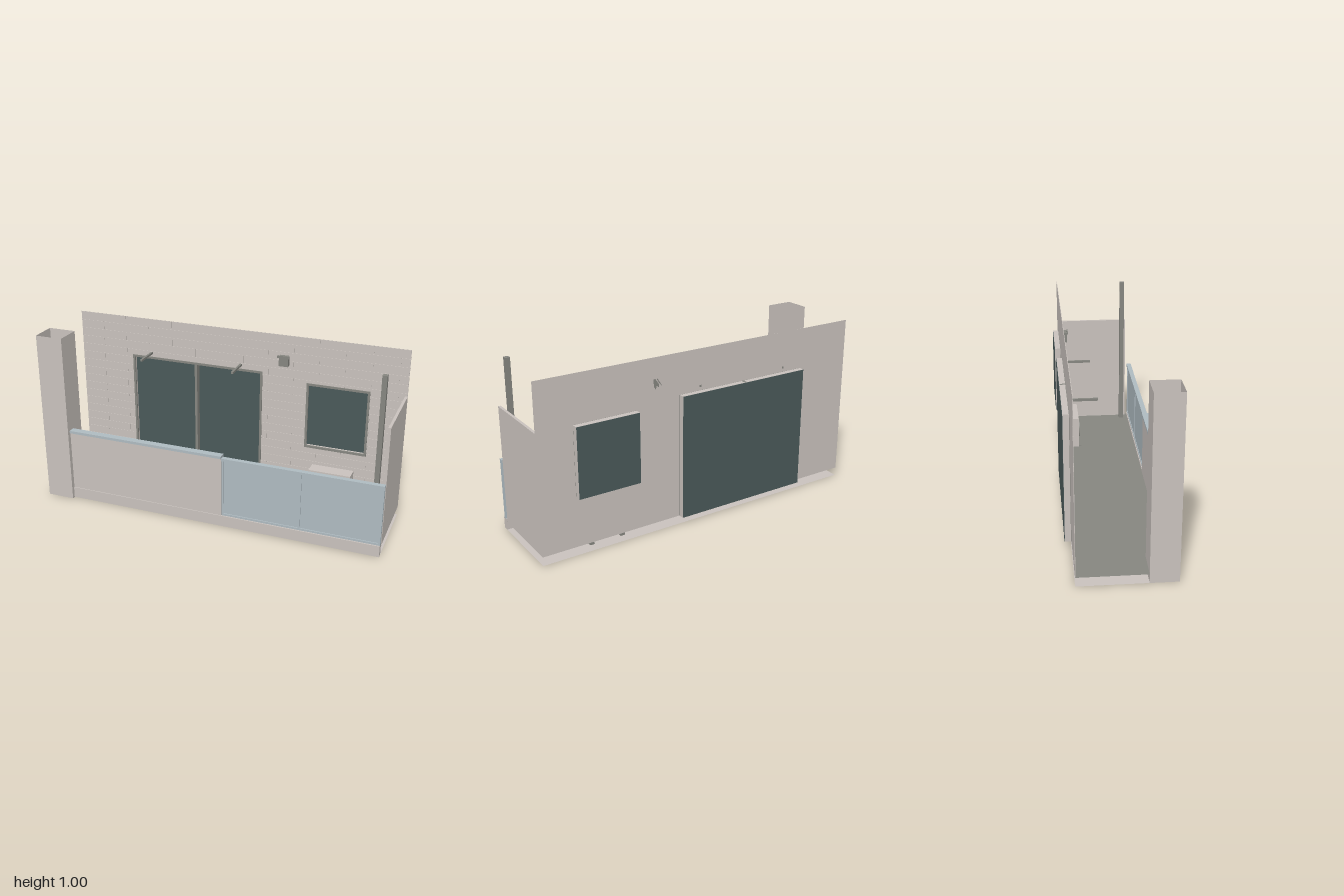
import * as THREE from 'three';

export function createModel() {
  const model = new THREE.Group();
  const mat = (name, color, side = THREE.FrontSide) => {
    const m = new THREE.MeshStandardMaterial({ color, side });
    m.name = name;
    return m;
  };
  const plaster = mat('plaster', 0xc9c2bd, THREE.DoubleSide);
  const metal = mat('dark grey metal', 0x868680, THREE.DoubleSide);
  const pane = mat('dark window glass', 0x4a5959, THREE.DoubleSide);
  const blue = mat('blue grey glass', 0xafbbc1, THREE.DoubleSide);

  const add = (name, geo, material, parent = model) => {
    const mesh = new THREE.Mesh(geo, material);
    mesh.name = name;
    parent.add(mesh);
    return mesh;
  };
  // box given by its limits on each axis
  const box = (name, material, x0, x1, y0, y1, z0, z1, parent) => {
    const g = new THREE.BoxGeometry(x1 - x0, y1 - y0, z1 - z0);
    g.translate((x0 + x1) / 2, (y0 + y1) / 2, (z0 + z1) / 2);
    return add(name, g, material, parent);
  };
  // horizontal sheet
  const sheet = (name, material, x0, x1, y, z0, z1) => {
    const g = new THREE.PlaneGeometry(x1 - x0, z1 - z0).rotateX(-Math.PI / 2);
    g.translate((x0 + x1) / 2, y, (z0 + z1) / 2);
    return add(name, g, material);
  };
  const group = (name) => {
    const g = new THREE.Group();
    g.name = name;
    model.add(g);
    return g;
  };

  // floor: base sheet, raised deck and front curb
  sheet('base', plaster, -1, 1, 0, -0.24, 0.25);
  sheet('deck', metal, -1, 1, 0.05, -0.24, 0.222);
  box('curb', plaster, -0.84, 1, 0.001, 0.066, 0.222, 0.255);

  // hollow pillar, open at the top
  const ring = new THREE.CylinderGeometry(Math.SQRT1_2, Math.SQRT1_2, 1, 4, 1, true)
    .rotateY(Math.PI / 4).toNonIndexed();
  ring.scale(0.16, 1, 0.15);
  ring.translate(-0.92, 0.5, 0.2);
  ring.computeVertexNormals();
  add('pillar', ring, plaster);

  // back wall with two openings: [x0, x1, y0, y1]
  const openings = [[-0.66, 0.165, 0.05, 0.766], [0.43, 0.795, 0.335, 0.733]];
  const rectPath = (p, [x0, x1, y0, y1]) => {
    p.moveTo(x0, y0); p.lineTo(x1, y0); p.lineTo(x1, y1); p.lineTo(x0, y1); p.closePath();
    return p;
  };
  const wall = new THREE.Shape([[-1, 0.05], [-0.66, 0.05], [-0.66, 0.766], [0.165, 0.766], [0.165, 0.05],
    [1, 0.05], [1, 1], [-1, 1]].map(([x, y]) => new THREE.Vector2(x, y)));
  wall.holes.push(rectPath(new THREE.Path(), openings[1]));
  add('backWall', new THREE.ShapeGeometry(wall).translate(0, 0, -0.24), plaster);

  // brick facing in running bond, cut around the openings
  const cut = (r, o) => {
    const [a, b, c, d] = r, [e, f, g, h] = o;
    if (a >= f || b <= e || c >= h || d <= g) return [r];
    const lo = Math.max(c, g), hi = Math.min(d, h);
    return [[a, b, c, g], [a, b, h, d], [a, e, lo, hi], [f, b, lo, hi]]
      .filter(([p, q, s, t]) => q - p > 0.001 && t - s > 0.001);
  };
  const bricks = group('bricks');
  const gap = 0.001;
  for (let row = 0; row < 19; row++) {
    const y = 0.05 + row * 0.05;
    for (let x = -1 - (row % 2) * 0.15; x < 0.99; x += 0.3) {
      let parts = [[Math.max(x, -1) + gap, Math.min(x + 0.3, 1) - gap, y + gap, y + 0.05 - gap]];
      for (const o of openings) parts = parts.flatMap((r) => cut(r, o));
      for (const [a, b, c, d] of parts) box('brick', plaster, a, b, c, d, -0.24, -0.237, bricks);
    }
  }

  // door and window: reveal, frame and glass set back behind the wall
  openings.forEach((o, i) => {
    const [x0, x1, y0, y1] = o;
    const g = group(i ? 'window' : 'slidingDoor');
    const hollow = (name, material, t, z0, z1) => {
      const s = rectPath(new THREE.Shape(), o);
      s.holes.push(rectPath(new THREE.Path(), [x0 + t, x1 - t, y0 + t, y1 - t]));
      const geo = new THREE.ExtrudeGeometry(s, { depth: z1 - z0, bevelEnabled: false });
      add(name, geo.translate(0, 0, z0), material, g);
    };
    hollow('reveal', plaster, 0.004, -0.274, -0.242);
    hollow('frame', metal, 0.013, -0.242, -0.233);
    box('glass', pane, x0 + 0.001, x1 - 0.001, y0 + 0.001, y1 - 0.001, -0.276, -0.272, g);
    if (!i) box('mullion', metal, -0.258, -0.243, y0, y1, -0.271, -0.236, g);
  });

  // side wall and slim post beside it
  box('sideWall', plaster, 0.985, 1, 0.05, 0.733, -0.24, 0.21);
  box('post', metal, 0.932, 0.958, 0.05, 1, 0.167, 0.195);

  // solid parapet with a blue cap
  box('parapet', plaster, -0.84, 0.1, 0.066, 0.42, 0.222, 0.25);
  box('parapetCap', blue, -0.84, 0.1, 0.42, 0.435, 0.216, 0.257);

  // glazed railing
  const railing = group('glassRailing');
  box('railingGlass', blue, 0.1, 1, 0.07, 0.415, 0.231, 0.241, railing);
  box('topBar', blue, 0.1, 1, 0.405, 0.42, 0.222, 0.25, railing);
  box('bottomBar', blue, 0.1, 1, 0.066, 0.078, 0.227, 0.247, railing);
  for (const x of [0.1, 0.544, 0.988]) box('railingPost', blue, x, x + 0.012, 0.07, 0.406, 0.227, 0.247, railing);

  // clothes poles reaching out of the wall
  for (const x of [-0.535, 0.032]) box('pole', metal, x - 0.006, x + 0.006, 0.784, 0.796, -0.24, -0.09);

  // wall lamp
  const lamp = group('wallLamp');
  box('lampBody', metal, 0.27, 0.324, 0.824, 0.882, -0.24, -0.206, lamp);
  box('lampLip', metal, 0.262, 0.331, 0.874, 0.888, -0.207, -0.201, lamp);

  // cooling unit on two feet
  const unit = group('coolingUnit');
  box('unitBody', plaster, 0.49, 0.735, 0.052, 0.243, -0.213, -0.133, unit);
  const fan = add('fanCover', new THREE.CylinderGeometry(0.06, 0.06, 0.006, 24), metal, unit);
  fan.rotation.x = Math.PI / 2;
  fan.position.set(0.585, 0.145, -0.13);
  for (const x of [0.52, 0.705]) box('foot', metal, x - 0.013, x + 0.013, 0.025, 0.052, -0.223, -0.117, unit);

  return model;
}
